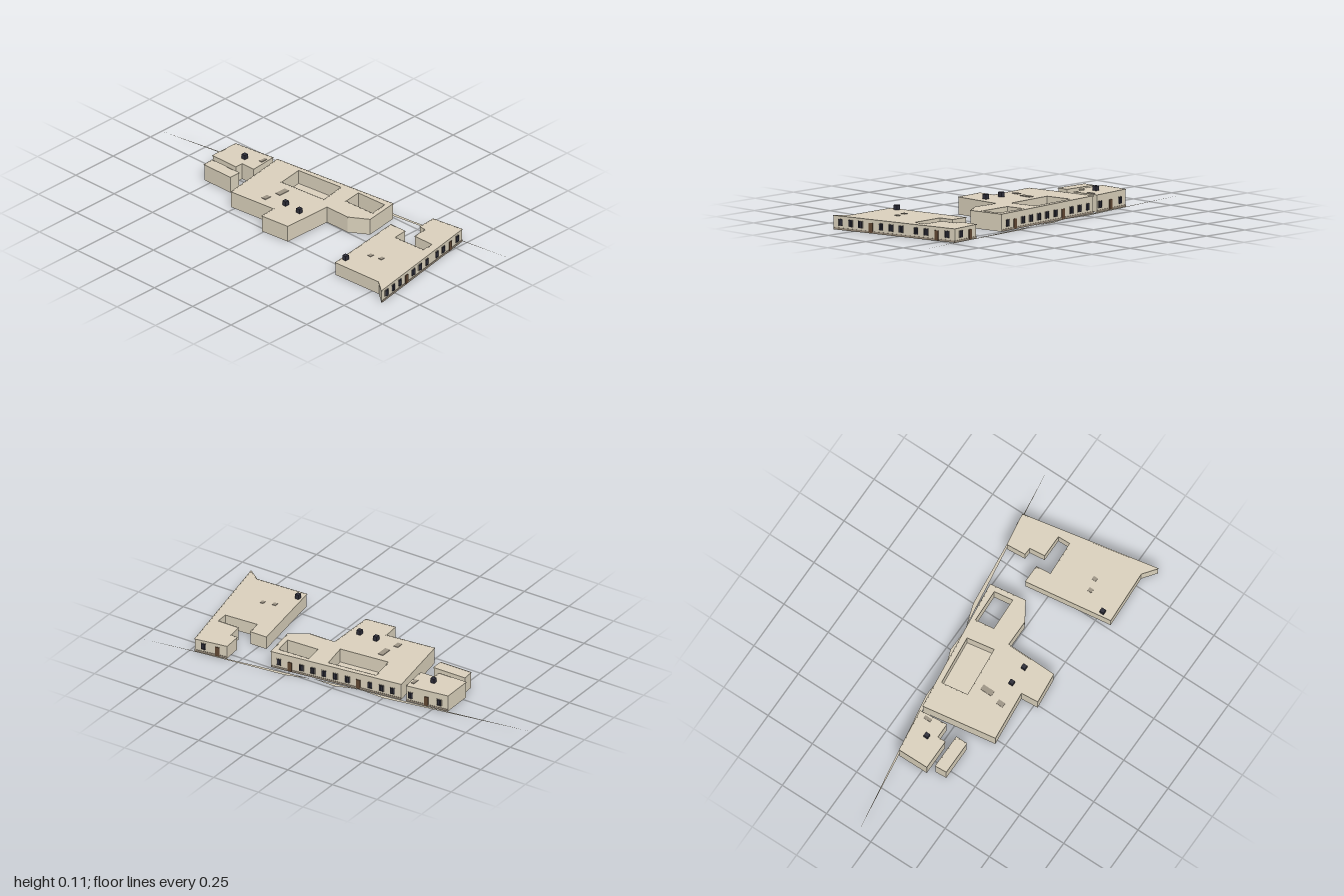
import * as THREE from 'three';

const mat = (name, color) => Object.assign(new THREE.MeshStandardMaterial({ color }), { name });

export function createModel() {
  const M = {
    wall: mat('wall plaster', 0xd8cfba),
    roof: mat('roof', 0xd9cfbc),
    trim: mat('cornice trim', 0xc6bda8),
    plinth: mat('plinth', 0x978b7a),
    dark: mat('dark glass and iron', 0x2d2d38),
    frame: mat('window frame', 0xb3aa96),
    door: mat('wooden door', 0x5f4632),
    hatch: mat('roof hatch', 0x9c9384),
    street: mat('street strip', 0xd0c7b3),
  };
  M.street.side = THREE.DoubleSide;
  const model = new THREE.Group();
  model.name = 'streetBlock';

  const add = (parent, name, geo, material, x = 0, y = 0, z = 0) => {
    const mesh = new THREE.Mesh(geo, material);
    mesh.name = name;
    mesh.position.set(x, y, z);
    parent.add(mesh);
    return mesh;
  };
  const box = (parent, name, material, w, h, d, x, y, z) =>
    add(parent, name, new THREE.BoxGeometry(w, h, d), material, x, y, z);

  // Plan outline [x, z], laid flat or raised from the ground
  const toPath = (pts) => pts.map(([x, z]) => new THREE.Vector2(x, -z));
  const prism = (pts, holes, h) => {
    const shape = new THREE.Shape(toPath(pts));
    holes.forEach((hole) => shape.holes.push(new THREE.Path(toPath(hole))));
    return new THREE.ExtrudeGeometry(shape, { depth: h, bevelEnabled: false }).rotateX(-Math.PI / 2);
  };

  // Group whose local x runs from a to b, local z points outward
  const along = (parent, name, a, b) => {
    const g = new THREE.Group();
    g.name = name;
    g.position.set(a[0], 0, a[1]);
    g.rotation.y = Math.atan2(a[1] - b[1], b[0] - a[0]);
    parent.add(g);
    return [g, Math.hypot(b[0] - a[0], b[1] - a[1])];
  };

  // Thin cornice following every edge of an outline
  const rim = (parent, pts, y) => pts.forEach((a, i) => {
    const [g, len] = along(parent, 'cornice', a, pts[(i + 1) % pts.length]);
    box(g, 'corniceStrip', M.trim, len + 0.004, 0.004, 0.004, len / 2, y, 0);
  });

  const building = (name, pts, h, holes = []) => {
    const g = new THREE.Group();
    g.name = name;
    g.position.z = 0.004;
    model.add(g);
    add(g, 'walls', prism(pts, holes, h), [M.roof, M.wall]);
    [pts, ...holes].forEach((outline) => rim(g, outline, h - 0.0015));
    return g;
  };

  const addWindow = (parent, x) => {
    box(parent, 'windowFrame', M.frame, 0.026, 0.034, 0.002, x, 0.0365, 0.001);
    box(parent, 'windowGlass', M.dark, 0.022, 0.031, 0.002, x, 0.0365, 0.002);
    for (let i = -2; i <= 2; i++) {
      box(parent, 'grilleBar', M.dark, 0.0015, 0.033, 0.0015, x + i * 0.0045, 0.0365, 0.005);
    }
    for (const y of [0.024, 0.049]) box(parent, 'grilleRail', M.dark, 0.021, 0.0015, 0.003, x, y, 0.0045);
  };
  const addDoor = (parent, x) => box(parent, 'door', M.door, 0.021, 0.046, 0.004, x, 0.0265, 0.002);

  // Street facade; axis 0 or 1 tells whether openings are placed by x or z
  const facade = (parent, a, b, axis, windows, doors) => {
    const [g, len] = along(parent, 'facade', a, b);
    box(g, 'plinth', M.plinth, len, 0.01, 0.003, len / 2, 0.005, 0.0005);
    const at = (v) => ((v - a[axis]) / (b[axis] - a[axis])) * len;
    windows.forEach((v) => addWindow(g, at(v)));
    doors.forEach((v) => addDoor(g, at(v)));
  };

  const chimney = (parent, x, z, roofY, w = 0.022) => {
    box(parent, 'chimney', M.dark, w, 0.023, 0.021, x, roofY + 0.0115, z);
  };
  const hatch = (parent, x, z, roofY, w, d) => {
    box(parent, 'roofHatch', M.hatch, w, 0.004, d, x, roofY + 0.001, z);
  };

  // Front building
  const frontPts = [[-0.36, 0.854], [0.315, 0.722], [0.29, 0.558], [0.195, 0.565], [0.193, 0.602],
    [0.115, 0.611], [0.115, 0.725], [0.05, 0.727], [0.04, 0.55], [0.115, 0.543], [0.115, 0.454],
    [-0.322, 0.517], [-0.31, 0.788]];
  const front = building('frontBuilding', frontPts, 0.066);
  facade(front, frontPts[0], frontPts[1], 0,
    [-0.32, -0.265, -0.21, -0.095, -0.04, 0.016, 0.1, 0.155, 0.272], [-0.152, 0.214]);
  facade(front, frontPts[1], frontPts[2], 1, [0.677], [0.606]);
  chimney(front, -0.268, 0.53, 0.066);
  hatch(front, -0.16, 0.588, 0.066, 0.022, 0.02);
  hatch(front, -0.145, 0.646, 0.066, 0.022, 0.018);

  // Middle building with a paved court and an open court
  const midPts = [[0.24, 0.344], [0.161, -0.333], [-0.208, -0.275], [-0.183, -0.021], [-0.27, -0.014],
    [-0.255, 0.14], [0.003, 0.145], [0.003, 0.28], [0.06, 0.37]];
  const pavedCourt = [[0.019, -0.17], [0.156, -0.19], [0.182, 0.064], [0.042, 0.088]];
  const openCourt = [[0.102, 0.17], [0.2, 0.157], [0.206, 0.326], [0.108, 0.34]];
  const mid = building('middleBuilding', midPts, 0.083, [pavedCourt, openCourt]);
  add(mid, 'courtFloor', prism(pavedCourt, [], 0.012), M.roof);
  facade(mid, midPts[0], midPts[1], 1,
    [0.302, 0.186, 0.127, 0.068, 0.01, -0.053, -0.171, -0.23, -0.288], [0.245, -0.11]);
  chimney(mid, -0.119, -0.007, 0.083);
  chimney(mid, -0.124, 0.089, 0.083);
  hatch(mid, -0.133, -0.119, 0.083, 0.036, 0.024);
  hatch(mid, -0.045, -0.1, 0.083, 0.062, 0.028);

  // Rear building and its outbuilding
  const rearPts = [[0.158, -0.36], [0.13, -0.575], [-0.024, -0.574], [-0.024, -0.423],
    [0.018, -0.423], [0.018, -0.348]];
  const rear = building('rearBuilding', rearPts, 0.083);
  facade(rear, rearPts[0], rearPts[1], 1, [-0.382, -0.53], [-0.463]);
  chimney(rear, 0.061, -0.448, 0.083);
  hatch(rear, 0.107, -0.373, 0.083, 0.037, 0.016);
  building('outbuilding', [[-0.113, -0.373], [-0.055, -0.373], [-0.055, -0.547], [-0.113, -0.543]], 0.083);

  // Long narrow flat street slivers
  const slivers = [
    [[0.075, -1], [0.15, -0.53], [0.196, -0.25], [0.19, -0.11], [0.229, 0], [0.226, 0.122],
      [0.2, -0.05], [0.165, -0.34], [0.13, -0.6]],
    [[0.232, 0.132], [0.27, 0.25], [0.318, 0.7], [0.357, 1], [0.306, 0.65]],
  ];
  slivers.forEach((pts) => add(model, 'streetStrip',
    new THREE.ShapeGeometry(new THREE.Shape(toPath(pts))).rotateX(-Math.PI / 2), M.street, 0, 0.0005, 0));

  return model;
}
